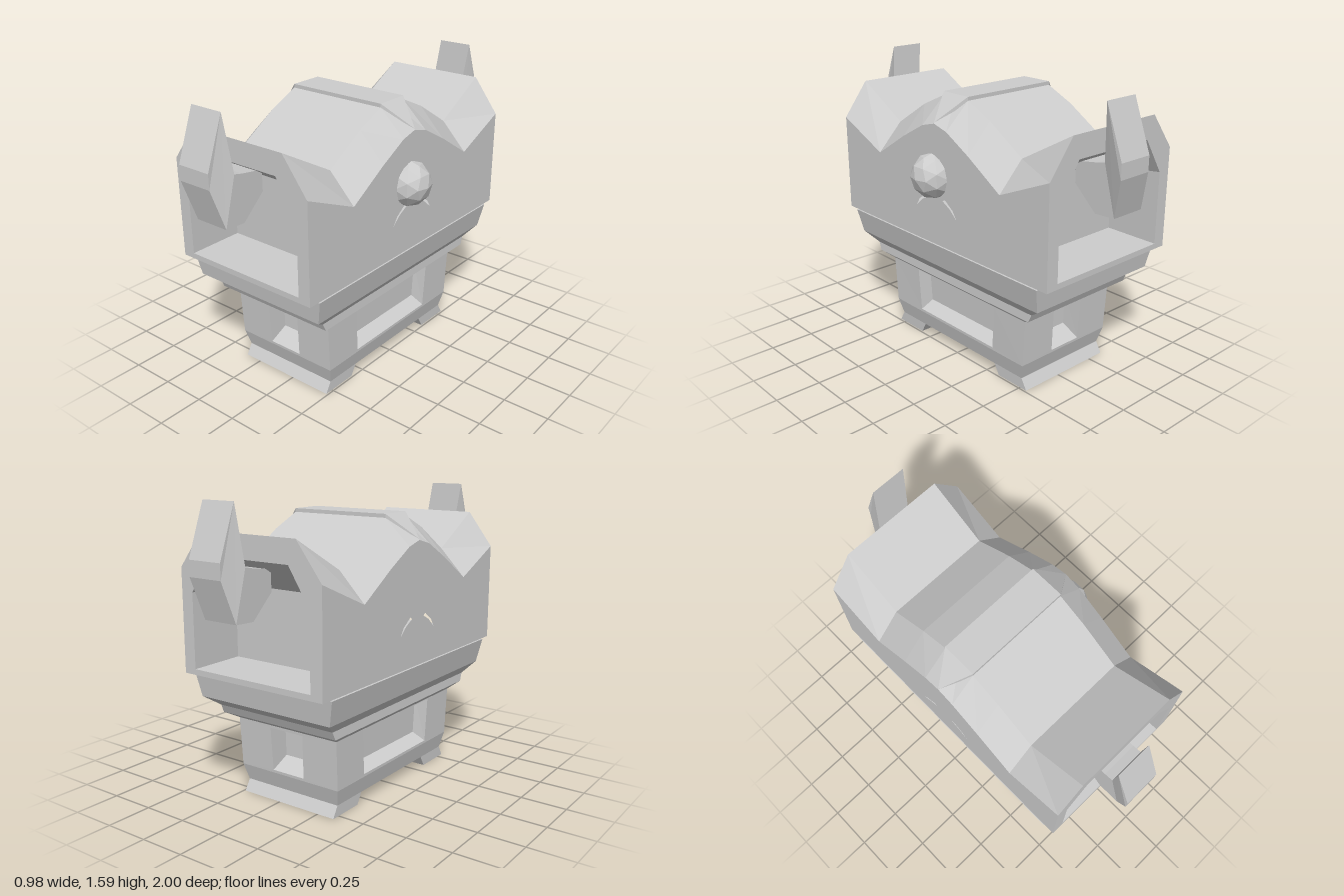
import * as THREE from 'three';

const stone = new THREE.MeshStandardMaterial({ color: 0xcccccc, flatShading: true });
stone.name = 'stone grey';

function mesh(name, geometry, parent) {
  const m = new THREE.Mesh(geometry, stone);
  m.name = name;
  parent.add(m);
  return m;
}

// Faces between successive loops of equal length, with optional end cap
function loft(loops, { closed = true, cap = false } = {}) {
  const out = [];
  const tri = (...pts) => pts.forEach((p) => out.push(...p));
  for (let k = 0; k + 1 < loops.length; k++) {
    const a = loops[k], b = loops[k + 1], n = a.length;
    for (let i = 0; i < (closed ? n : n - 1); i++) {
      const j = (i + 1) % n;
      tri(a[i], a[j], b[j], a[i], b[j], b[i]);
    }
  }
  if (cap) {
    const c = loops[loops.length - 1];
    for (let i = 1; i + 1 < c.length; i++) tri(c[0], c[i], c[i + 1]);
  }
  const g = new THREE.BufferGeometry();
  g.setAttribute('position', new THREE.Float32BufferAttribute(out, 3));
  g.computeVertexNormals();
  return g;
}

const ring = (y, x, z) => [[-x, y, z], [x, y, z], [x, y, -z], [-x, y, -z]];
const shapeOf = (pts) => new THREE.Shape(pts.map(([x, y]) => new THREE.Vector2(x, y)));

const HALF = 0.435, TOP = 0.29, LENGTH = 0.81, FLOOR = 0.7;
// Roof stations: z, chamfer foot height, ridge height
const half = [[0.81, 1.24, 1.43], [0.485, 1.1, 1.25], [0.26, 1.24, 1.39], [0.095, 1.33, 1.465]];
const stations = [...half, [0, 1.355, 1.472], ...half.map(([z, l, h]) => [-z, l, h]).reverse()];

function addSideWall(body, side) {
  const wall = shapeOf([[-LENGTH, FLOOR], [LENGTH, FLOOR], ...stations.map(([z, low]) => [z, low])]);
  // Curved slits cut through the wall
  const slit = [[0.165, 0.88], [0.135, 0.925], [0.075, 0.967], [0.055, 0.957], [0.11, 0.928]];
  for (const s of [1, -1]) wall.holes.push(shapeOf(slit.map(([x, y]) => [s * x, y])));
  const g = new THREE.ShapeGeometry(wall);
  g.rotateY(side * Math.PI / 2);
  g.translate(side * HALF, 0, 0);
  mesh('sideWall', g, body);
}

function addHorn(parent) {
  const g = new THREE.ExtrudeGeometry(shapeOf([
    [0.9, 1.585], [0.875, 1.29], [0.83, 1.28], [0.7, 1.26], [0.7, 1.15],
    [0.83, 1.03], [0.945, 1.035], [1, 1.24], [1, 1.32],
  ]), { depth: 0.195, bevelEnabled: false });
  g.rotateY(-Math.PI / 2);
  // The tip and outer face lean sideways from the root
  const p = g.attributes.position;
  for (let i = 0; i < p.count; i++) {
    const outer = p.getY(i) > 1.4 || p.getZ(i) > 0.99;
    p.setX(i, p.getX(i) + 0.195 + (outer ? -0.18 : -0.145));
  }
  g.computeVertexNormals();
  mesh('horn', g, parent);
}

function addEnd(parent) {
  // Hollow end whose ceiling slopes down to the back
  const face = (x, t, y0, y1, y2, z) =>
    [[-x, y0, z], [x, y0, z], [x, y1, z], [t, y2, z], [-t, y2, z], [-x, y1, z]];
  mesh('hollowEnd', loft([
    face(HALF, TOP, FLOOR, 1.24, 1.43, LENGTH),
    face(0.365, 0.245, 0.73, 1.12, 1.31, LENGTH),
    face(0.365, 0.245, 0.73, 1.12, 1.121, 0.5),
  ], { cap: true }), parent);
  addHorn(parent);

  // Base panels with recessed windows
  mesh('baseEndPanel', loft([
    [[-0.315, 0.15, 0.535], [0.315, 0.15, 0.535], [0.318, 0.415, 0.55], [-0.318, 0.415, 0.55]],
    [[-0.1, 0.165, 0.536], [0.1, 0.165, 0.536], [0.105, 0.4, 0.549], [-0.105, 0.4, 0.549]],
    [[-0.1, 0.215, 0.43], [0.1, 0.215, 0.43], [0.105, 0.4, 0.43], [-0.105, 0.4, 0.43]],
  ], { cap: true }), parent);
  mesh('baseSidePanel', loft([
    [[0.315, 0.15, 0.535], [0.315, 0.15, -0.535], [0.318, 0.415, -0.55], [0.318, 0.415, 0.55]],
    [[0.315, 0.165, 0.305], [0.315, 0.165, -0.305], [0.318, 0.41, -0.322], [0.318, 0.41, 0.322]],
    [[0.235, 0.2, 0.305], [0.235, 0.2, -0.305], [0.235, 0.41, -0.322], [0.235, 0.41, 0.322]],
  ], { cap: true }), parent);
}

export function createModel() {
  const model = new THREE.Group();
  model.name = 'hornedChest';
  const body = new THREE.Group();
  body.name = 'chest';
  body.position.x = -0.055;
  model.add(body);

  // Wavy chamfered roof and underside
  mesh('roof', loft(stations.map(([z, low, high]) =>
    [[-HALF, low, z], [-TOP, high, z], [TOP, high, z], [HALF, low, z]]), { closed: false }), body);
  mesh('underside', loft([LENGTH, -LENGTH].map((z) =>
    [[HALF, FLOOR, z], [-HALF, FLOOR, z]]), { closed: false }), body);
  for (const side of [1, -1]) addSideWall(body, side);

  // Raised band across the crown, pointed at both sides
  const band = (y) => [[-TOP, y, 0.095], [TOP, y, 0.095], [HALF, 1.36, 0],
    [TOP, y, -0.095], [-TOP, y, -0.095], [-HALF, 1.36, 0]];
  const crown = band(1.485);
  mesh('crownBand', loft([band(1.45), crown]), body);
  mesh('crownTop', loft([[crown[0], crown[1]], [crown[4], crown[3]]], { closed: false }), body);
  mesh('crownPointLeft', loft([[crown[1], crown[2], crown[3]]], { cap: true }), body);
  mesh('crownPointRight', loft([[crown[4], crown[5], crown[0]]], { cap: true }), body);

  // Stepped moulding
  mesh('moulding', loft([
    ring(0.415, 0.318, 0.55), ring(0.455, 0.365, 0.62), ring(0.5, 0.362, 0.64),
    ring(0.56, 0.41, 0.725), ring(0.695, 0.438, 0.745),
  ], { cap: true }), body);

  // Base skirt and splayed feet
  mesh('skirt', loft([ring(0.06, 0.295, 0.51), ring(0.15, 0.315, 0.535)]), body);
  const feet = new THREE.ExtrudeGeometry(shapeOf([
    [-0.51, 0.06], [-0.545, 0], [-0.335, 0], [-0.3, 0.06],
    [0.3, 0.06], [0.335, 0], [0.545, 0], [0.51, 0.06], [0.4, 0.065], [-0.4, 0.065],
  ]), { depth: 0.59, bevelEnabled: false });
  feet.rotateY(Math.PI / 2);
  feet.translate(-0.295, 0, 0);
  mesh('feet', feet, body);

  // The two ends are the same, turned half round
  for (const [name, angle] of [['frontEnd', 0], ['backEnd', Math.PI]]) {
    const end = new THREE.Group();
    end.name = name;
    end.rotation.y = angle;
    addEnd(end);
    body.add(end);
  }

  // Faceted knob on the left side
  const knob = mesh('knob', new THREE.IcosahedronGeometry(0.123, 1), model);
  knob.position.set(0.368, 1.075, 0.025);
  return model;
}
